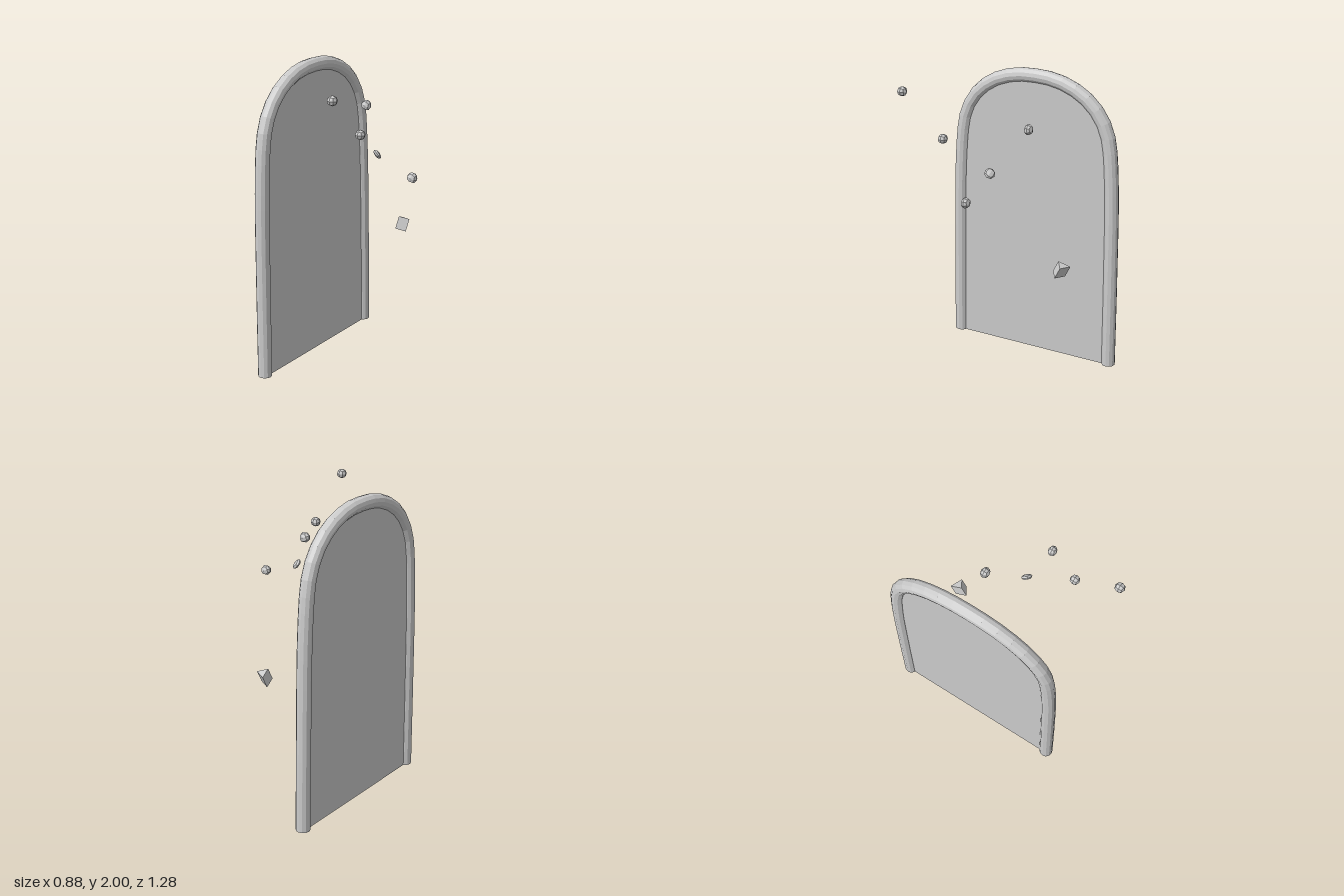
import * as THREE from 'three';
import { ConvexGeometry } from 'three/addons/geometries/ConvexGeometry.js';

const material = new THREE.MeshStandardMaterial({ color: 0xcccccc, flatShading: true });
const ARCH_X = -0.397, ARCH_Z = -0.025, TUBE_R = 0.046;

// Half outline of the arch: [distance from its middle, height]
const half = [[0.57, 0], [0.562, 0.65], [0.547, 1.28], [0.52, 1.575], [0.487, 1.685],
  [0.41, 1.8], [0.3, 1.885], [0.155, 1.94]];
const outline = [...half, [0, 1.954], ...half.map(([w, y]) => [-w, y]).reverse()];

function addMesh(parent, name, geometry) {
  const mesh = new THREE.Mesh(geometry, material);
  mesh.name = name;
  parent.add(mesh);
  return mesh;
}

// Ball made of a box with 2 x 2 quads per side, pushed out to a sphere
function quadBall() {
  const geometry = new THREE.BoxGeometry(1, 1, 1, 2, 2, 2);
  const p = geometry.attributes.position, v = new THREE.Vector3();
  for (let i = 0; i < p.count; i++) {
    v.fromBufferAttribute(p, i).normalize();
    p.setXYZ(i, v.x, v.y, v.z);
  }
  geometry.computeVertexNormals();
  return geometry;
}

// Ball narrowed toward its top and scaled into a pebble
function pebble(sx, sy, sz, taper) {
  const geometry = quadBall();
  const p = geometry.attributes.position;
  for (let i = 0; i < p.count; i++) {
    const k = 1 - taper * p.getY(i);
    p.setXYZ(i, p.getX(i) * k * sx, p.getY(i) * sy, p.getZ(i) * k * sz);
  }
  geometry.computeVertexNormals();
  return geometry;
}

export function createModel() {
  const model = new THREE.Group();
  model.name = 'archWithDebris';

  // Arch: round frame, closed feet and a thin filling panel
  const arch = new THREE.Group();
  arch.name = 'arch';
  arch.position.set(ARCH_X, 0, ARCH_Z);
  model.add(arch);
  const path = new THREE.CatmullRomCurve3(outline.map(([z, y]) => new THREE.Vector3(0, y, z)));
  addMesh(arch, 'archFrame', new THREE.TubeGeometry(path, 48, TUBE_R, 12));
  for (const side of [1, -1]) {
    const foot = addMesh(arch, side > 0 ? 'frontFootCap' : 'backFootCap',
      new THREE.CircleGeometry(TUBE_R, 12).rotateX(Math.PI / 2));
    foot.position.z = side * half[0][0];
  }
  const panelShape = new THREE.Shape(path.getPoints(48).map((p) => new THREE.Vector2(p.z, p.y)));
  const panel = new THREE.ExtrudeGeometry(panelShape, { depth: 0.036, bevelEnabled: false });
  addMesh(arch, 'archPanel', panel.translate(0, 0, -0.018).rotateY(-Math.PI / 2));

  // Two small balls
  [[0.2, 1.925, 0.605], [0.2, 1.66, 0.32]].forEach((position, i) => {
    const ball = addMesh(model, `ball${i + 1}`, quadBall());
    ball.scale.setScalar(0.032);
    ball.position.set(...position);
  });

  // Two matching pebbles
  [[-0.064, 1.714, -0.14], [0.402, 1.36, 0.05]].forEach((position, i) => {
    const rock = addMesh(model, `pebble${i + 1}`, pebble(0.035, 0.034, 0.029, 0.15));
    rock.rotation.z = -0.4;
    rock.position.set(...position);
  });

  // Flat pebble, tilted
  const chip = addMesh(model, 'flatPebble', pebble(0.035, 0.017, 0.035, 0));
  chip.quaternion.setFromUnitVectors(new THREE.Vector3(0, 1, 0), new THREE.Vector3(1, 1, -1).normalize());
  chip.position.set(0.131, 1.459, 0.029);

  // Three-sided wedge
  const end = [[0.024, 0.907, -0.402], [0.083, 0.887, -0.44], [0.007, 0.877, -0.478]]
    .map((c) => new THREE.Vector3(...c));
  const shift = new THREE.Vector3(-0.004, -0.077, 0.038);
  addMesh(model, 'wedge', new ConvexGeometry([...end, ...end.map((c) => c.clone().add(shift))]));

  return model;
}
